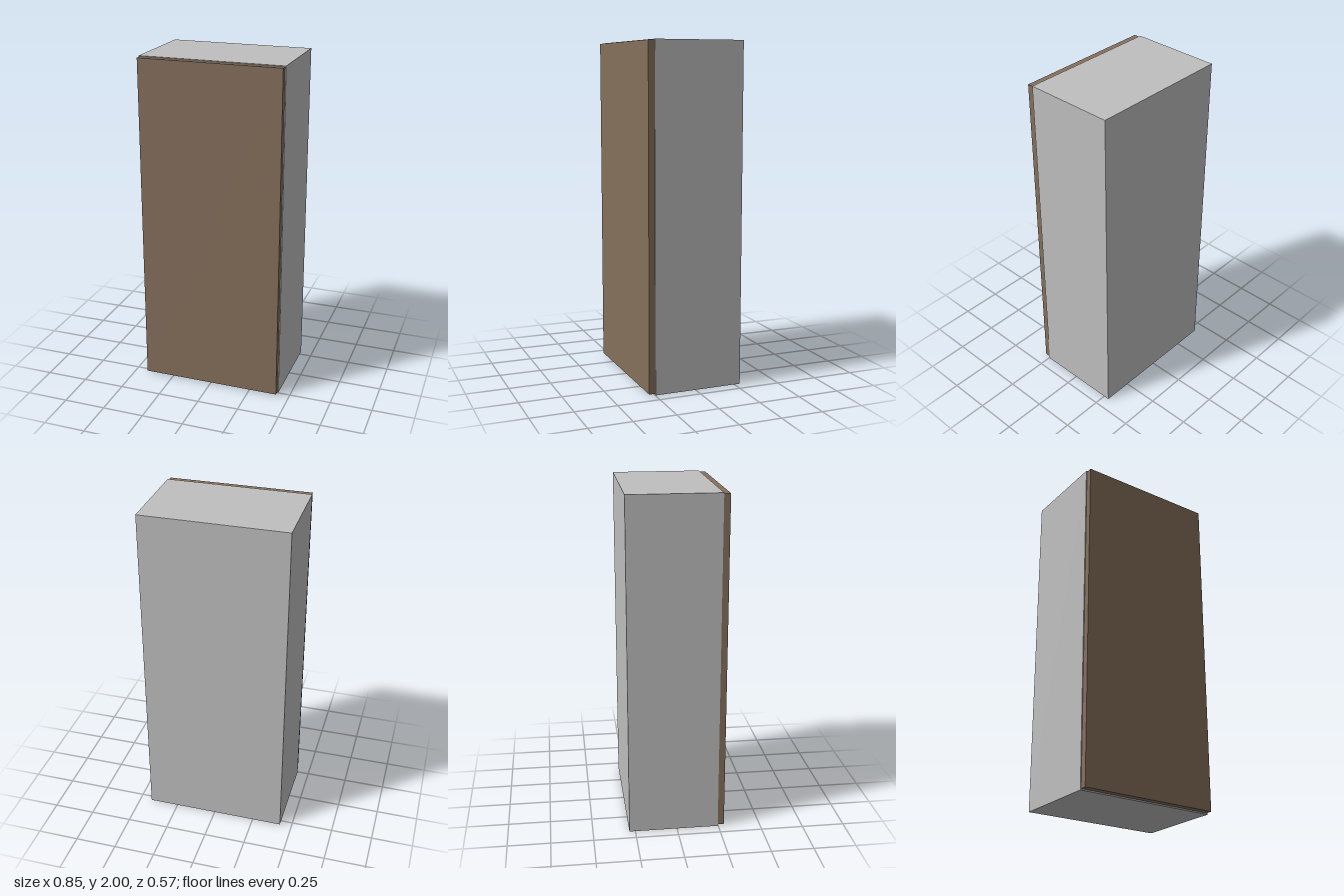
import * as THREE from 'three';

export function createModel() {
  const model = new THREE.Group();
  model.name = 'cabinet';

  const carcassGrey = new THREE.MeshStandardMaterial({ color: 0xbebfbe });
  carcassGrey.name = 'carcass grey';
  const doorBrown = new THREE.MeshStandardMaterial({ color: 0x86705c });
  doorBrown.name = 'door brown';

  // Box panel given by its extents on each axis
  function panel(name, material, [x0, x1], [y0, y1], [z0, z1]) {
    const mesh = new THREE.Mesh(new THREE.BoxGeometry(x1 - x0, y1 - y0, z1 - z0), material);
    mesh.position.set((x0 + x1) / 2, (y0 + y1) / 2, (z0 + z1) / 2);
    mesh.name = name;
    model.add(mesh);
  }

  const halfWidth = 0.427, height = 2, thick = 0.033;
  const back = -0.285, front = 0.247, doorFront = 0.285;
  const inner = halfWidth - thick;

  // Full-height side panels
  panel('leftSide', carcassGrey, [inner, halfWidth], [0, height], [back, front]);
  panel('rightSide', carcassGrey, [-halfWidth, -inner], [0, height], [back, front]);

  // Top, bottom and back, flush between the sides
  panel('bottomPanel', carcassGrey, [-inner, inner], [0, thick], [back, front]);
  panel('topPanel', carcassGrey, [-inner, inner], [height - thick, height], [back, front]);
  panel('backPanel', carcassGrey, [-inner, inner], [thick, height - thick], [back, back + 0.01]);

  // Single door laid over the front with a small reveal
  panel('door', doorBrown, [-0.422, 0.422], [0.008, 1.995], [front, doorFront]);

  return model;
}
